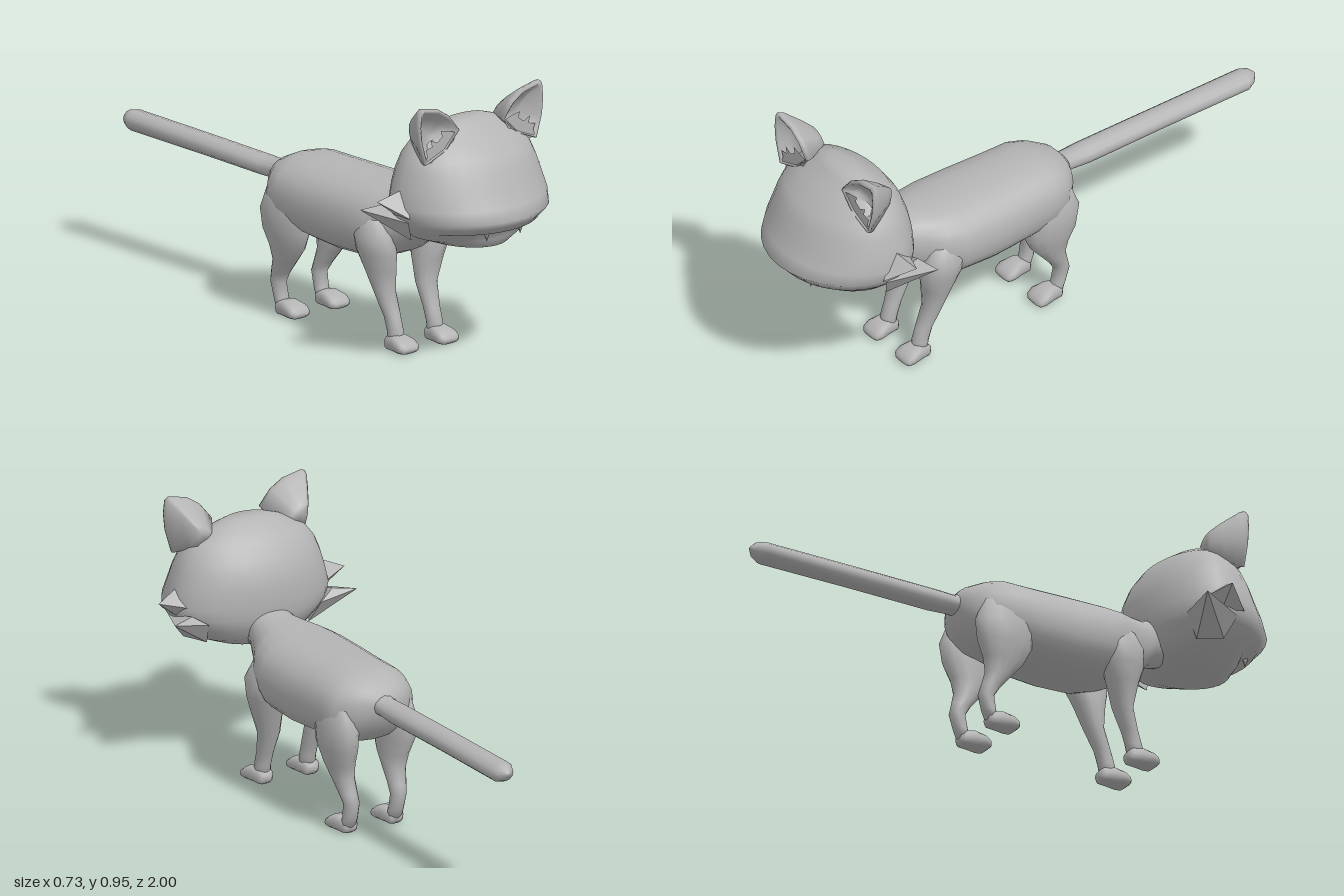
import * as THREE from 'three';
import { ConvexGeometry } from 'three/addons/geometries/ConvexGeometry.js';

const grey = new THREE.MeshStandardMaterial({ color: 0xb4b4b4 });
grey.name = 'grey';
const greyThin = grey.clone();
greyThin.name = 'grey thin';
greyThin.side = THREE.DoubleSide;

// Closed smooth skin over rings of [x, y, z] points, always facing outward
function loft(rings) {
  const n = rings[0].length, pos = rings.flat(2), idx = [];
  for (let r = 0; r < rings.length - 1; r++)
    for (let i = 0; i < n; i++) {
      const a = r * n + i, b = r * n + (i + 1) % n;
      idx.push(a, b, a + n, b, b + n, a + n);
    }
  for (const r of [0, rings.length - 1]) {
    const c = pos.length / 3;
    for (let k = 0; k < 3; k++) pos.push(rings[r].reduce((s, p) => s + p[k], 0) / n);
    for (let i = 0; i < n; i++) {
      const a = r * n + i, b = r * n + (i + 1) % n;
      if (r === 0) idx.push(c, b, a); else idx.push(c, a, b);
    }
  }
  let volume = 0;
  const v = i => new THREE.Vector3().fromArray(pos, i * 3);
  for (let t = 0; t < idx.length; t += 3)
    volume += v(idx[t]).dot(v(idx[t + 1]).cross(v(idx[t + 2])));
  if (volume < 0) idx.reverse();
  const g = new THREE.BufferGeometry();
  g.setAttribute('position', new THREE.Float32BufferAttribute(pos, 3));
  g.setIndex(idx);
  g.computeVertexNormals();
  return g;
}

// Unit superellipse
function loop(n, e) {
  return Array.from({ length: n }, (_, i) => {
    const a = i / n * Math.PI * 2, c = Math.cos(a), s = Math.sin(a);
    return [Math.sign(c) * Math.abs(c) ** (2 / e), Math.sign(s) * Math.abs(s) ** (2 / e)];
  });
}

// Sections across z: [z, bottom, top, halfWidth]
const alongZ = (rows, n, e, cx = 0) => loft(rows.map(([z, lo, hi, w]) =>
  loop(n, e).map(([c, s]) => [cx + c * w, (lo + hi) / 2 + s * (hi - lo) / 2, z])));

// Sections across y: [y, back, front, halfWidth, centreX, widestZ]
const alongY = (rows, n, e, side = 1) => loft(rows.map(([y, b, f, w, cx = 0, zc = (b + f) / 2]) =>
  loop(n, e).map(([c, s]) => [side * (cx + c * w), y, zc + s * (s > 0 ? f - zc : zc - b)])));

export function createModel() {
  const model = new THREE.Group();
  const add = (name, geometry, material = grey) => {
    const m = new THREE.Mesh(geometry, material);
    m.name = name;
    model.add(m);
  };

  // Body with neck
  add('body', alongZ([
    [-0.19, 0.43, 0.50, 0.05], [-0.165, 0.37, 0.53, 0.10], [-0.11, 0.325, 0.555, 0.155],
    [-0.05, 0.31, 0.57, 0.172], [0.05, 0.295, 0.57, 0.175], [0.2, 0.285, 0.57, 0.183],
    [0.33, 0.29, 0.57, 0.183], [0.40, 0.31, 0.57, 0.168], [0.46, 0.335, 0.573, 0.13],
    [0.52, 0.375, 0.575, 0.10], [0.57, 0.425, 0.59, 0.082], [0.66, 0.45, 0.62, 0.08],
  ], 24, 2.3));

  // Tail
  add('tail', alongZ([
    [-0.12, 0.42, 0.53, 0.06], [-0.2, 0.435, 0.50, 0.042], [-0.28, 0.432, 0.502, 0.048],
    [-0.6, 0.436, 0.508, 0.045], [-0.95, 0.438, 0.512, 0.045], [-0.98, 0.45, 0.505, 0.03],
    [-1.0, 0.475, 0.485, 0.005],
  ], 12, 2));

  // Head, widest near the cheeks, with the upper lip over a set-back jaw
  add('head', alongY([
    [0.435, 0.66, 0.85, 0.07], [0.445, 0.61, 0.885, 0.13], [0.475, 0.575, 0.9, 0.21],
    [0.505, 0.56, 0.91, 0.245], [0.515, 0.555, 0.96, 0.255], [0.535, 0.545, 0.975, 0.275],
    [0.56, 0.54, 1.0, 0.292], [0.60, 0.535, 0.975, 0.3], [0.66, 0.535, 0.945, 0.285],
    [0.71, 0.545, 0.925, 0.27], [0.76, 0.565, 0.895, 0.25], [0.81, 0.6, 0.83, 0.212],
    [0.85, 0.66, 0.785, 0.13], [0.866, 0.69, 0.765, 0.08],
  ].map(r => [...r, 0, 0.72]), 32, 2));

  const earRim = [[0.25, 0.755], [0.275, 0.84], [0.281, 0.9], [0.276, 0.948], [0.262, 0.958],
    [0.19, 0.942], [0.14, 0.91], [0.095, 0.855], [0.16, 0.79]];
  const earSections = [[0.35, 0.69], [0.6, 0.725], [0.82, 0.762], [0.96, 0.785], [1, 0.8],
    [0.95, 0.81], [0.86, 0.805], [0.6, 0.77], [0.3, 0.755]];
  const tuft = new THREE.Shape([[0.105, 0.845], [0.145, 0.857], [0.178, 0.863], [0.172, 0.842],
    [0.195, 0.826], [0.224, 0.84], [0.217, 0.815], [0.246, 0.808], [0.238, 0.785],
    [0.25, 0.765], [0.2, 0.755], [0.14, 0.79]].map(p => new THREE.Vector2(...p)));

  for (const side of [1, -1]) {
    const label = side > 0 ? 'left' : 'right';
    const spike = pts => new ConvexGeometry(pts.map(([x, y, z]) => new THREE.Vector3(side * x, y, z)));

    // Hollow ear: cone-like back, rim and sunken inside
    add(label + 'Ear', loft(earSections.map(([s, z]) =>
      earRim.map(([x, y]) => [side * (0.19 + (x - 0.19) * s), 0.83 + (y - 0.83) * s, z]))));
    const hair = new THREE.ShapeGeometry(tuft);
    hair.translate(0, 0, 0.803);
    if (side < 0) hair.rotateY(Math.PI).translate(0, 0, 1.606);
    add(label + 'EarTuft', hair, greyThin);

    // Cheek fur points
    add(label + 'UpperCheekTuft', spike([[0.365, 0.625, 0.69], [0.275, 0.66, 0.72],
      [0.295, 0.57, 0.78], [0.25, 0.6, 0.64], [0.28, 0.56, 0.7]]));
    add(label + 'LowerCheekTuft', spike([[0.358, 0.575, 0.595], [0.275, 0.585, 0.62],
      [0.285, 0.55, 0.76], [0.245, 0.475, 0.73], [0.2, 0.47, 0.65], [0.22, 0.55, 0.6]]));

    // Fang
    const fang = new THREE.ConeGeometry(0.014, 0.04, 6);
    fang.rotateX(Math.PI).translate(side * 0.075, 0.5, 0.92);
    add(label + 'Fang', fang);

    // Front leg
    add(label + 'FrontLeg', alongY([
      [0.025, 0.45, 0.5, 0.03, 0.088], [0.07, 0.44, 0.5, 0.028, 0.088], [0.12, 0.425, 0.483, 0.03, 0.088],
      [0.2, 0.387, 0.457, 0.04, 0.093], [0.28, 0.36, 0.468, 0.055, 0.105],
      [0.34, 0.33, 0.485, 0.06, 0.116], [0.40, 0.32, 0.48, 0.06, 0.126], [0.46, 0.34, 0.45, 0.035, 0.125],
    ], 14, 2, side));
    // Hind leg
    add(label + 'HindLeg', alongY([
      [0.025, -0.115, -0.07, 0.03, 0.09], [0.06, -0.132, -0.083, 0.027, 0.09],
      [0.115, -0.148, -0.092, 0.028, 0.092], [0.15, -0.138, -0.07, 0.032, 0.096],
      [0.2, -0.125, -0.028, 0.038, 0.1], [0.25, -0.135, 0.015, 0.047, 0.105],
      [0.31, -0.162, 0.045, 0.056, 0.112], [0.38, -0.172, 0.05, 0.058, 0.115],
      [0.46, -0.14, 0.03, 0.04, 0.115],
    ], 14, 2, side));

    // Paws, flared toward the toes
    for (const [name, z0] of [['FrontPaw', 0.44], ['HindPaw', -0.115]])
      add(label + name, alongZ([
        [z0, 0.012, 0.04, 0.02], [z0 + 0.012, 0.003, 0.055, 0.032], [z0 + 0.05, 0.003, 0.062, 0.039],
        [z0 + 0.085, 0.003, 0.052, 0.046], [z0 + 0.105, 0.005, 0.038, 0.042], [z0 + 0.113, 0.012, 0.026, 0.03],
      ], 14, 2.8, side * 0.09));
  }
  return model;
}
